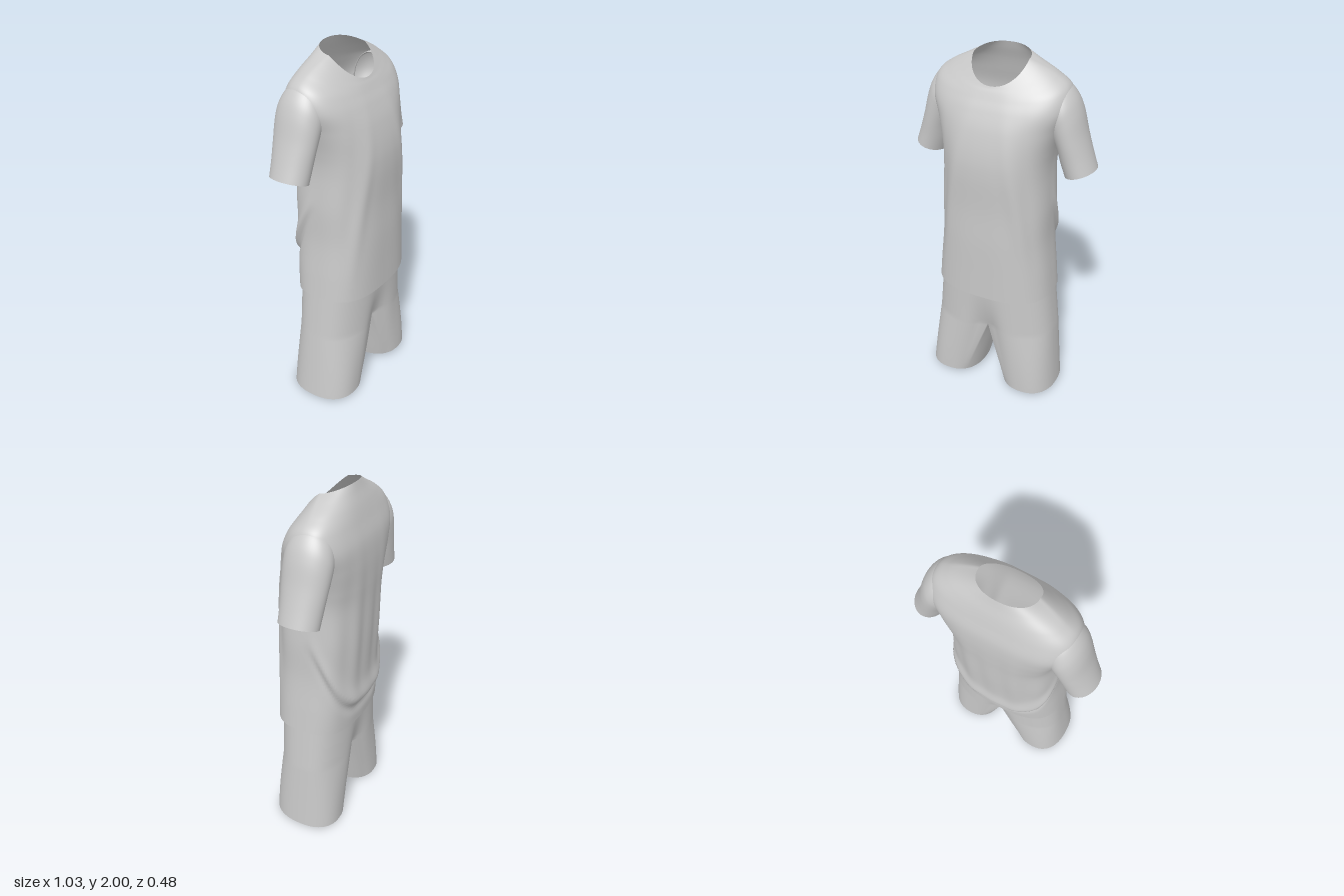
import * as THREE from 'three';
import { mergeGeometries, mergeVertices } from 'three/addons/utils/BufferGeometryUtils.js';

const cloth = new THREE.MeshStandardMaterial({ color: 0xc8c8c8, side: THREE.DoubleSide });
cloth.name = 'grey cloth';

// Smooth interpolation through rows of section parameters, t in 0..1
function sampleRows(rows, t) {
  const f = Math.min(t, 0.99999) * (rows.length - 1), k = Math.floor(f), u = f - k;
  const at = (i) => rows[Math.max(0, Math.min(rows.length - 1, i))];
  return rows[k].map((b, c) => {
    const a = at(k - 1)[c], d = at(k + 1)[c], e = at(k + 2)[c];
    return b + 0.5 * u * (d - a + u * (2 * a - 5 * b + 4 * d - e + u * (3 * (b - d) + e - a)));
  });
}

// Open tube of closed rings; point(i, j) returns [x, y, z]
function loft(around, along, point, flip) {
  const pos = [], idx = [];
  for (let j = 0; j <= along; j++) for (let i = 0; i < around; i++) pos.push(...point(i, j));
  for (let j = 0; j < along; j++) {
    for (let i = 0; i < around; i++) {
      const a = j * around + i, b = j * around + (i + 1) % around, c = a + around, d = b + around;
      if (flip) idx.push(a, b, c, b, d, c);
      else idx.push(a, c, b, b, c, d);
    }
  }
  const g = new THREE.BufferGeometry();
  g.setAttribute('position', new THREE.Float32BufferAttribute(pos, 3));
  g.setIndex(idx);
  g.computeVertexNormals();
  return g;
}

const power = (v, p) => Math.sign(v) * Math.abs(v) ** p;
const bump = (d, w) => Math.exp(-((d / w) ** 2));

// Shirt body: front y, side y, back y, half width, front z, back z, middle z, front and back squareness
const bodyRows = [
  [0.665, 0.68, 0.65, 0.34, 0.24, -0.205, 0, 0.73, 0.75],
  [0.8, 0.8, 0.8, 0.328, 0.24, -0.215, 0, 0.74, 0.75],
  [1.0, 1.0, 1.0, 0.308, 0.24, -0.22, 0, 0.76, 0.75],
  [1.2, 1.2, 1.2, 0.304, 0.235, -0.228, 0, 0.78, 0.75],
  [1.4, 1.4, 1.4, 0.292, 0.238, -0.232, -0.01, 0.78, 0.74],
  [1.52, 1.52, 1.52, 0.303, 0.228, -0.235, -0.03, 0.78, 0.7],
  [1.64, 1.64, 1.64, 0.335, 0.2, -0.234, -0.045, 0.78, 0.66],
  [1.73, 1.75, 1.74, 0.372, 0.165, -0.224, -0.05, 0.8, 0.66],
  [1.785, 1.845, 1.83, 0.357, 0.137, -0.198, -0.05, 0.85, 0.72],
  [1.818, 1.9, 1.9, 0.292, 0.12, -0.175, -0.045, 0.9, 0.8],
  [1.835, 1.942, 1.96, 0.21, 0.11, -0.15, -0.03, 0.93, 0.86],
  [1.845, 1.967, 2.0, 0.15, 0.105, -0.135, -0.02, 0.95, 0.9],
];

function shirtBody() {
  const around = 128, along = 110;
  return loft(around, along, (i, j) => {
    const a = (i / around) * Math.PI * 2, c = Math.cos(a), s = Math.sin(a);
    const [yF, yS, yB, w, zF, zB, zc, pF, pB] = sampleRows(bodyRows, j / along);
    const y = yS + ((s > 0 ? yF : yB) - yS) * Math.abs(s) ** 1.15;
    let x = w * power(c, s > 0 ? pF : pB);
    let z = zc + (s > 0 ? (zF - zc) * power(s, pF) : (zc - zB) * power(s, pB));
    let out = 0;
    const band = bump(y - 1.2, 0.36);
    if (s < 0) {
      // Draped swag hanging round the lower back, and soft vertical folds above it
      const d = y - (0.81 + 0.45 * (1 + s) ** 1.1), fade = Math.min(1, -s * 2);
      out += fade * (0.02 * bump(d, d > 0 ? 0.07 : 0.025) - 0.01 * bump(d + 0.06, 0.03));
      out += 0.004 * band * fade * Math.cos(x * 48);
    } else {
      // Tension folds running from the chest to the hips
      out += 0.011 * band * s * bump(Math.abs(x) - 0.14 - 0.17 * (1.5 - y), 0.035);
      out -= 0.008 * band * s * bump(Math.abs(x) - 0.22 - 0.1 * (1.5 - y), 0.03);
    }
    x += out * c;
    z += out * s;
    return [x, y, z];
  });
}

// Sleeve: outer x, outer y, inner x, inner y, middle z, half depth
const sleeveRows = [
  [0.27, 1.87, 0.2, 1.7, -0.06, 0.07],
  [0.335, 1.862, 0.235, 1.66, -0.06, 0.11],
  [0.385, 1.81, 0.265, 1.62, -0.06, 0.126],
  [0.42, 1.735, 0.285, 1.58, -0.06, 0.126],
  [0.452, 1.62, 0.308, 1.53, -0.059, 0.12],
  [0.485, 1.52, 0.33, 1.455, -0.058, 0.112],
  [0.515, 1.437, 0.355, 1.385, -0.057, 0.107],
];

function sleeve(side) {
  const around = 56, along = 36;
  return loft(around, along, (i, j) => {
    const a = (i / around) * Math.PI * 2, c = Math.cos(a);
    const [ox, oy, ix, iy, zc, zh] = sampleRows(sleeveRows, j / along);
    return [side * ((ox + ix) / 2 + (c * (ox - ix)) / 2), (oy + iy) / 2 + (c * (oy - iy)) / 2, zc + zh * Math.sin(a)];
  }, side > 0);
}

// Shorts: a pelvis tube that divides into two legs at the crotch height
const WAIST = 0.76, SPLIT = 0.42;

function pelvisPoint(a, y) {
  const t = (WAIST - y) / (WAIST - SPLIT), c = Math.cos(a), s = Math.sin(a);
  const x = (0.325 + 0.036 * t) * power(c, 0.78);
  const groove = 1 - 0.26 * t * t * bump(x, 0.08);
  return [x, y, (s > 0 ? 0.215 : 0.19) * power(s, 0.76) * groove];
}

function pelvis() {
  const around = 96, along = 16;
  return loft(around, along, (i, j) =>
    pelvisPoint((i / around) * Math.PI * 2, SPLIT + ((WAIST - SPLIT) * j) / along));
}

function leg(side, hemX) {
  const outer = 48, inner = 20, along = 24, corner = (125 * Math.PI) / 180;
  return loft(outer + inner, along, (i, j) => {
    const t = j / along;
    let top, a;
    if (i <= outer) {
      const u = i / outer;
      top = pelvisPoint(Math.PI / 2 - u * Math.PI, SPLIT);
      a = corner * (1 - 2 * u);
    } else {
      // Curved crotch seam from back to front
      const u = (i - outer) / inner;
      const z0 = pelvisPoint(-Math.PI / 2, SPLIT)[2], z1 = pelvisPoint(Math.PI / 2, SPLIT)[2];
      top = [0, SPLIT - 0.055 * Math.sin(u * Math.PI), z0 + (z1 - z0) * u];
      a = -corner - u * (Math.PI * 2 - corner * 2);
    }
    const z = 0.015 + 0.195 * power(Math.sin(a), 0.85);
    const hem = [hemX + 0.16 * power(Math.cos(a), 0.85), 0.012 + 0.045 * z, z];
    const p = top.map((v, k) => v + (hem[k] - v) * t);
    // Ease the depth so the front and back round out quickly below the groove
    p[2] = top[2] + (hem[2] - top[2]) * Math.sin((t * Math.PI) / 2);
    p[0] *= side;
    return p;
  }, side < 0);
}

function shorts() {
  const parts = [pelvis(), leg(1, 0.23), leg(-1, 0.25)];
  parts.forEach((g) => g.deleteAttribute('normal'));
  const g = mergeVertices(mergeGeometries(parts), 1e-4);
  g.computeVertexNormals();
  return g;
}

export function createModel() {
  const group = new THREE.Group();
  group.name = 'shirt and shorts';
  const add = (name, geometry) => {
    const mesh = new THREE.Mesh(geometry, cloth);
    mesh.name = name;
    group.add(mesh);
  };
  add('shirtBody', shirtBody());
  add('leftSleeve', sleeve(1));
  add('rightSleeve', sleeve(-1));
  add('shorts', shorts());
  return group;
}
